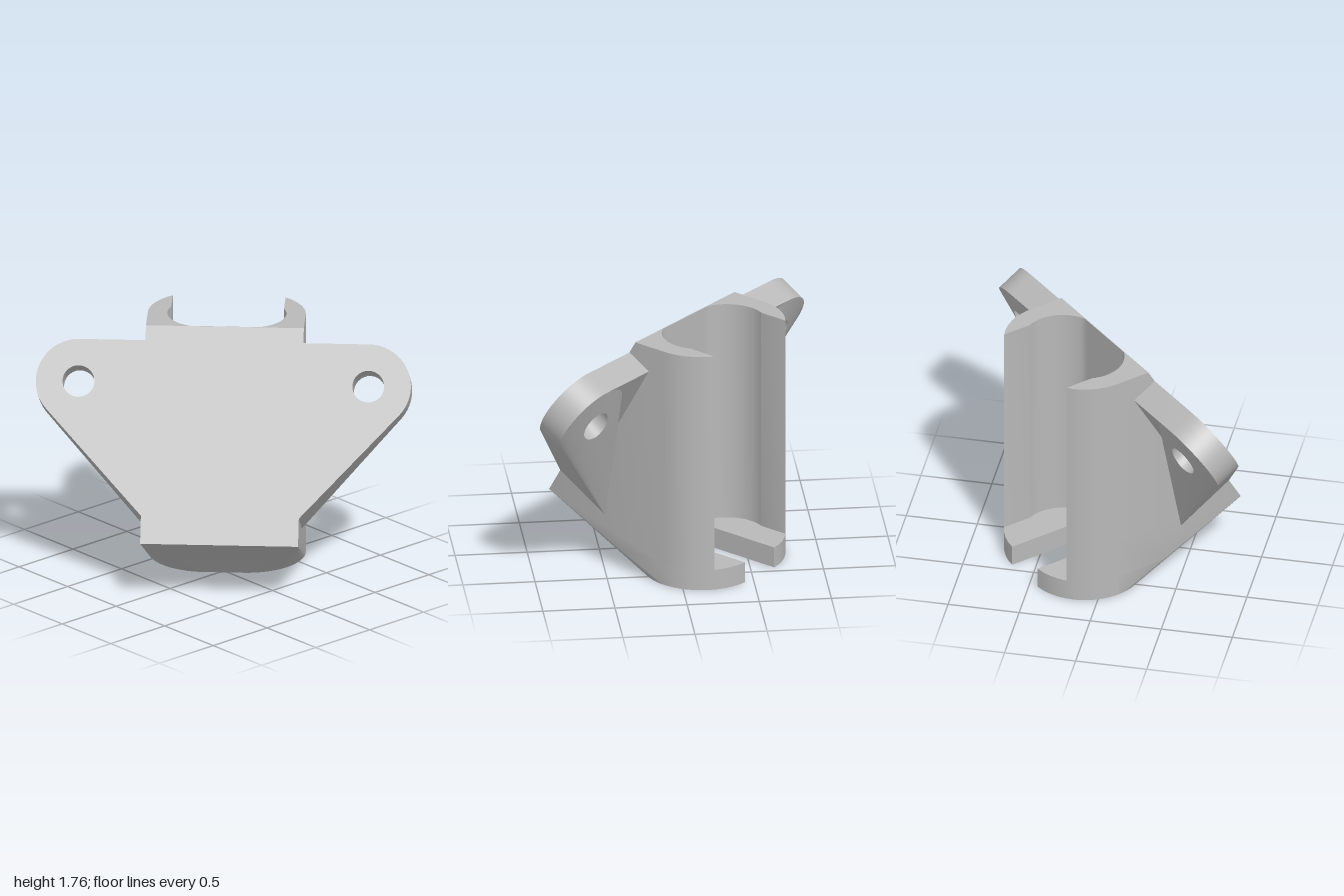
import * as THREE from 'three';
import { toCreasedNormals } from 'three/addons/utils/BufferGeometryUtils.js';

const HALF = 0.545, ARC_U = 0.14, ARC_W = -0.375;   // body half width, centres of its rounded corners
const RIM = 0.405, BORE = 0.271;                    // outer and cavity corner radii
const TOP = 1.76, LEDGE = 0.44, FLOOR = 0.15;
const TILT = Math.PI / 6, FACE_W = 0.643;           // sloping face starts at the ledge
const THICK = 0.196, LUG = [1.0, 1.126], LUG_R = 0.294, HOLE_R = 0.11, KNEE = [HALF, 0.196];

function fromTriangles(points) {
  const g = new THREE.BufferGeometry();
  g.setAttribute('position', new THREE.Float32BufferAttribute(points.flat(), 3));
  return toCreasedNormals(g, 0.45);
}

// Rounded path from the rear opening at +u, round the front, to the opening at -u
function roundedPath(r, opening) {
  const half = [], start = -Math.acos((opening - ARC_U) / r);
  for (let i = 0; i <= 10; i++) half.push(start * (1 - i / 10));
  for (let i = 1; i <= 16; i++) half.push((i / 16) * Math.PI / 2);
  const right = half.map(a => ({ u: ARC_U + r * Math.cos(a), w: ARC_W + r * Math.sin(a), front: a > 1e-6 }));
  return right.concat(right.slice().reverse().map(p => ({ ...p, u: -p.u })));
}

// Outer outline at height y: the front draws out to the two corners of the sloping face
function outline(y, opening) {
  const k = Math.min(1, y / LEDGE);
  const w = FACE_W - Math.max(0, y - LEDGE) * Math.tan(TILT);
  return roundedPath(RIM, opening).map(p => p.front
    ? [p.u + (Math.sign(p.u) * HALF - p.u) * k, y, p.w + (w - p.w) * k]
    : [p.u, y, p.w]);
}

// Walls between closed loops, plus flat caps where asked
function loft(loops, capBottom, capTop) {
  const t = [];
  for (let l = 0; l + 1 < loops.length; l++) {
    const a = loops[l], b = loops[l + 1], n = a.length;
    for (let i = 0; i < n; i++) {
      const j = (i + 1) % n;
      t.push(a[i], b[j], a[j], a[i], b[i], b[j]);
    }
  }
  const cap = (loop, up) => {
    const flat = loop.map(p => new THREE.Vector2(p[0], p[2]));
    for (const f of THREE.ShapeUtils.triangulateShape(flat, [])) {
      const [p, q, r] = f.map(i => loop[i]);
      const faceUp = (q[2] - p[2]) * (r[0] - p[0]) - (q[0] - p[0]) * (r[2] - p[2]) > 0;
      if (faceUp === up) t.push(p, q, r); else t.push(p, r, q);
    }
  };
  if (capBottom) cap(loops[0], false);
  if (capTop) cap(loops[loops.length - 1], true);
  // walls must face outward
  const wall = t.slice();
  const end = (loops.length - 1) * loops[0].length * 6;
  for (let i = 0; i < end; i += 3) [wall[i + 1], wall[i + 2]] = [t[i + 2], t[i + 1]];
  return fromTriangles(wall.filter(Boolean));
}

// Side wing with a rounded lug and screw hole
function wingGeometry(side) {
  const dx = LUG[0] - KNEE[0], dy = LUG[1] - KNEE[1];
  const flare = Math.atan2(dy, dx) - Math.asin(LUG_R / Math.hypot(dx, dy));
  const pts = [KNEE];
  for (let i = 0; i <= 32; i++) {
    const a = flare - Math.PI / 2 + (i / 32) * (Math.PI - flare);
    pts.push([LUG[0] + LUG_R * Math.cos(a), LUG[1] + LUG_R * Math.sin(a)]);
  }
  pts.push([HALF, LUG[1] + LUG_R]);
  const shape = new THREE.Shape(pts.map(p => new THREE.Vector2(side * p[0], p[1])));
  shape.holes.push(new THREE.Path().absarc(side * LUG[0], LUG[1], HOLE_R, 0, Math.PI * 2));
  const g = new THREE.ExtrudeGeometry(shape, { depth: THICK, bevelEnabled: false, curveSegments: 20 });
  return toCreasedNormals(g.translate(0, 0, -THICK), 0.45);
}

// Conical brace behind a wing: rays run from its deep tip at the body to the lug rim
function braceGeometry(side) {
  const DEEP = 0.457, UP = 0.448;
  const dx = LUG[0] - KNEE[0], dy = LUG[1] - KNEE[1], D = Math.hypot(dx, dy), mid = Math.atan2(dy, dx);
  const dB = Math.hypot(dx, dy - UP);
  const tangent = Math.atan2(dy - UP, dx) + Math.asin(LUG_R / dB);
  const len = Math.sqrt(dB * dB - LUG_R * LUG_R);
  const touch = Math.atan2(UP + len * Math.sin(tangent), len * Math.cos(tangent));
  const hole = Math.asin(HOLE_R / D);
  const reach = (a, r, s) => {
    const d = a - mid;
    return D * Math.cos(d) + s * Math.sqrt(Math.max(0, r * r - (D * Math.sin(d)) ** 2));
  };
  const rim = a => a <= touch ? reach(a, LUG_R, 1) : UP * Math.cos(tangent) / Math.sin(a - tangent);
  const at = (a, r) => [side * (KNEE[0] + r * Math.cos(a)), KNEE[1] + r * Math.sin(a),
    -(DEEP + (THICK - DEEP) * r / rim(a))];
  const t = [];
  const tri = (a, b, c) => side > 0 ? t.push(a, b, c) : t.push(a, c, b);
  const quad = (a, b, c, d) => { tri(a, b, c); tri(a, c, d); };
  const drop = p => [p[0], p[1], -THICK];
  const tip = at(mid, 0);
  const breaks = [mid - Math.asin(LUG_R / D), mid - hole, mid + hole, touch, Math.PI / 2];
  for (let s = 0; s < 4; s++) {
    for (let i = 0; i < 16; i++) {
      const [a, b] = [i, i + 1].map(v =>
        breaks[s] + (breaks[s + 1] - breaks[s]) * (1 - Math.cos(v / 16 * Math.PI)) / 2);
      const pa = at(a, rim(a)), pb = at(b, rim(b));
      if (s !== 1) { tri(tip, pb, pa); continue; }
      const [na, nb] = [a, b].map(v => at(v, reach(v, HOLE_R, -1)));
      const [fa, fb] = [a, b].map(v => at(v, reach(v, HOLE_R, 1)));
      tri(tip, nb, na);
      quad(fa, fb, pb, pa);
      quad(na, nb, drop(nb), drop(na));
      quad(fb, fa, drop(fa), drop(fb));
    }
  }
  tri(drop(tip), tip, at(breaks[0], rim(breaks[0])));
  return fromTriangles(t);
}

export function createModel() {
  const grey = new THREE.MeshStandardMaterial({ color: 0xb8b8b8, side: THREE.DoubleSide });
  grey.name = 'grey';
  const model = new THREE.Group();
  model.name = 'wallBracket';
  const add = (parent, name, geometry) => {
    const m = new THREE.Mesh(geometry, grey);
    m.name = name;
    parent.add(m);
  };

  // Holder body with an open-backed cavity
  const shell = y => outline(y, 0.389).concat(
    roundedPath(BORE, 0.389).reverse().map(p => [p.u, y, Math.min(p.w, -0.124)]));
  add(model, 'holderBody', loft([FLOOR, LEDGE, TOP].map(shell), false, true));

  // Floor with a slot open to the back
  const base = y => outline(y, 0.16).concat([[-0.16, y, -0.225], [0.16, y, -0.225]]);
  add(model, 'slottedFloor', loft([0, FLOOR].map(base), true, true));

  // Tilted mounting wings and their braces
  const plate = new THREE.Group();
  plate.name = 'mountingPlate';
  plate.position.set(0, LEDGE, FACE_W);
  plate.rotation.x = -TILT;
  for (const side of [1, -1]) {
    const label = side > 0 ? 'left' : 'right';
    add(plate, label + 'Wing', wingGeometry(side));
    add(plate, label + 'Brace', braceGeometry(side));
  }
  model.add(plate);

  model.rotation.y = Math.PI / 4;
  const root = new THREE.Group();
  root.name = 'bracket';
  root.add(model);
  return root;
}
